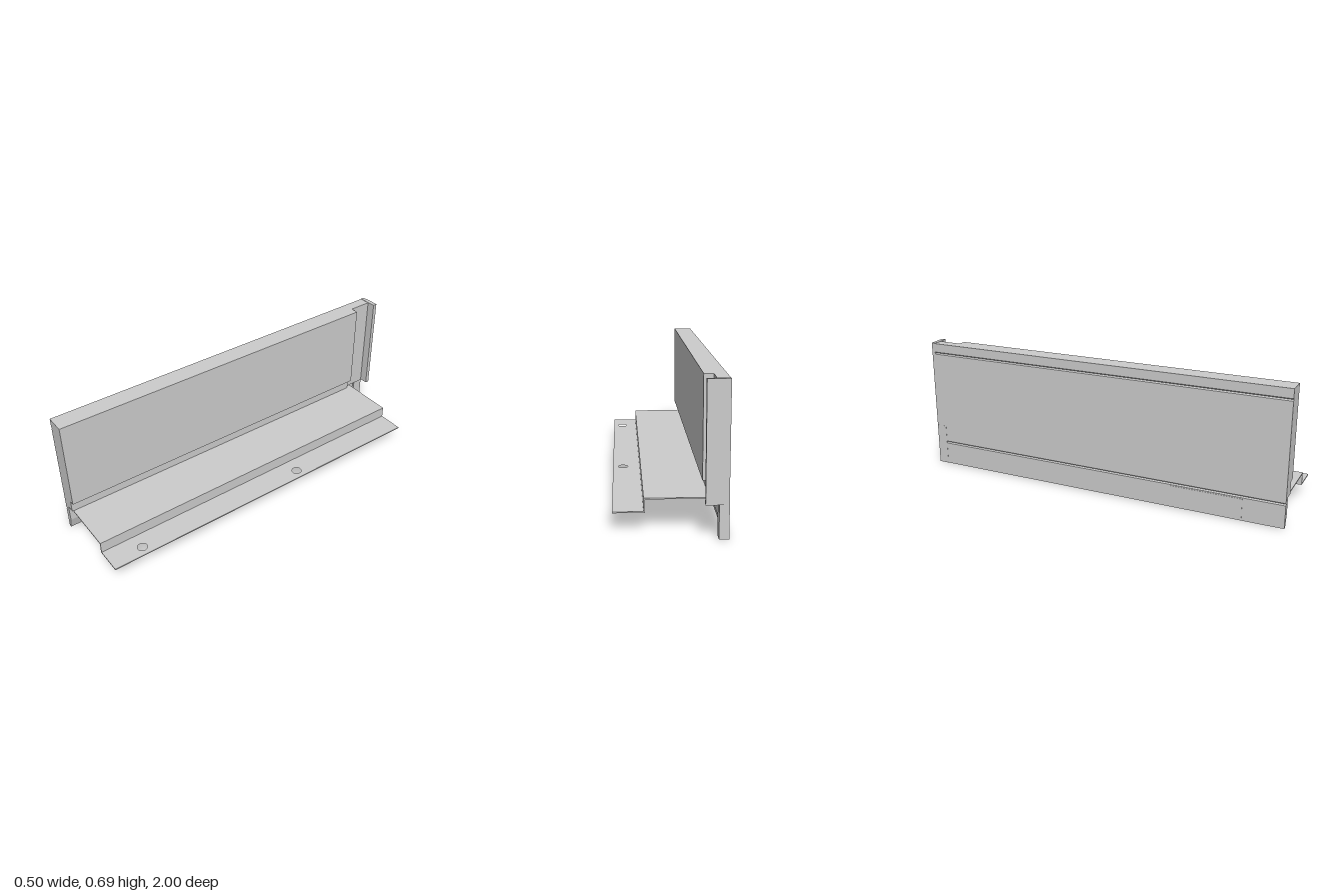
import * as THREE from 'three';

const material = new THREE.MeshStandardMaterial({ color: 0xcccccc, flatShading: true });

function polygon(points) {
  return new THREE.Shape(points.map(([x, y]) => new THREE.Vector2(x, y)));
}

function addMesh(group, name, geometry) {
  const mesh = new THREE.Mesh(geometry, material);
  mesh.name = name;
  group.add(mesh);
  return mesh;
}

// Extrudes an x-y section from z0 to z1
function addProfile(group, name, points, z0, z1) {
  const geometry = new THREE.ExtrudeGeometry(polygon(points), { depth: z1 - z0, bevelEnabled: false });
  return addMesh(group, name, geometry.translate(0, 0, z0));
}

// Extrudes an x-z plan (with optional round holes) from y0 to y1
function addPlan(group, name, points, y0, y1, holes = []) {
  const shape = polygon(points.map(([x, z]) => [x, -z]));
  for (const [x, z, r] of holes) {
    const hole = new THREE.Path();
    hole.absarc(x, -z, r, 0, Math.PI * 2, true);
    shape.holes.push(hole);
  }
  const geometry = new THREE.ExtrudeGeometry(shape, { depth: y1 - y0, bevelEnabled: false, curveSegments: 32 });
  return addMesh(group, name, geometry.rotateX(-Math.PI / 2).translate(0, y0, 0));
}

function rectangle(x0, x1, a0, a1) {
  return [[x0, a0], [x1, a0], [x1, a1], [x0, a1]];
}

export function createModel() {
  const group = new THREE.Group();
  group.name = 'edgeRail';
  const outer = -0.248, top = 0.69;

  // Outer face with two V grooves, and the tapered lower lip
  const outerFace = [[outer, top]];
  for (const y of [0.637, 0.125]) {
    outerFace.push([outer, y + 0.006], [outer + 0.007, y], [outer, y - 0.006]);
  }
  const lip = [[outer, 0], [-0.232, 0], [-0.216, 0.06], [-0.216, 0.152]];

  // Thick wall, rebated above the shelf
  addProfile(group, 'wall', [
    ...outerFace, ...lip,
    [-0.174, 0.152], [-0.174, 0.218], [-0.147, 0.218], [-0.147, top],
  ], -0.85, 1);

  // Thinner tongue of the wall at the back end
  addProfile(group, 'wallTongue', [
    ...outerFace, ...lip, [-0.19, 0.152], [-0.19, top],
  ], -0.977, -0.85);

  // Back end cap and the foot below it
  addPlan(group, 'endCap', [
    [-0.248, -0.992], [-0.2, -0.999], [-0.146, -0.999], [-0.146, -0.978], [-0.215, -0.974], [-0.248, -0.974],
  ], 0.155, 0.692);
  addPlan(group, 'endFoot', rectangle(-0.249, -0.205, -0.991, -0.935), 0, 0.22);

  // Thin cover on the lower outer face
  addProfile(group, 'lowerCover', rectangle(-0.2495, -0.247, 0.002, 0.113), 0.41, 0.79);

  // Bent sheet shelf: step and riser in one section
  addProfile(group, 'shelf', [
    [-0.216, 0.146], [0.105, 0.146], [0.105, 0.086], [0.111, 0.086], [0.111, 0.152], [-0.216, 0.152],
  ], -0.88, 0.993);

  // Mounting flange with two screw holes
  addPlan(group, 'flange', rectangle(0.111, 0.248, -0.88, 0.993), 0.086, 0.092,
    [-0.155, 0.815].map((z) => [0.197, z, 0.025]));

  return group;
}
